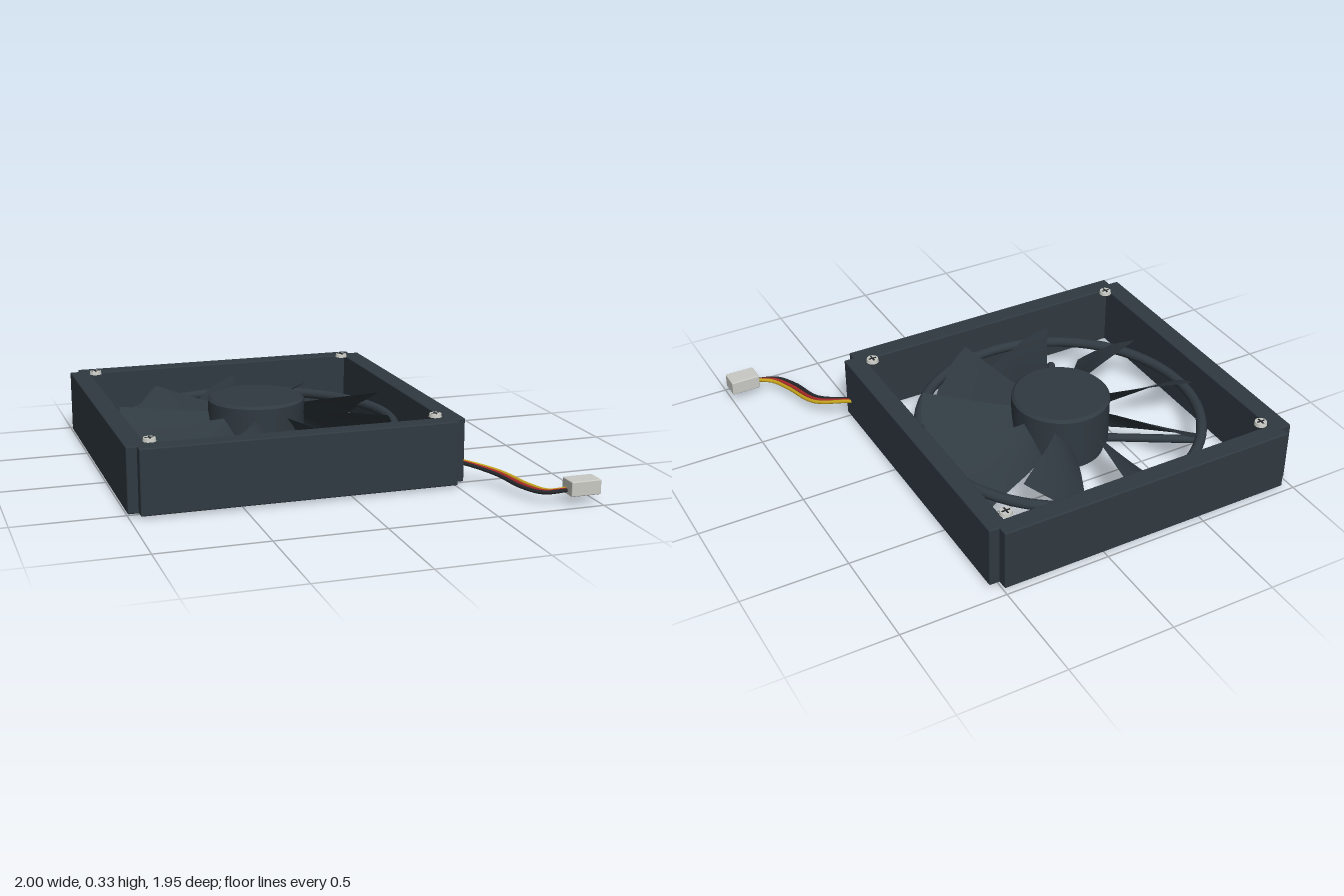
import * as THREE from 'three';
import { RoundedBoxGeometry } from 'three/addons/geometries/RoundedBoxGeometry.js';

const CX = -0.228, CZ = -0.203; // fan axis

export function createModel() {
  const mat = (name, color, side = THREE.FrontSide) => {
    const m = new THREE.MeshStandardMaterial({ color, side });
    m.name = name;
    return m;
  };
  const plastic = mat('dark plastic', 0x303a41, THREE.DoubleSide);
  const metal = mat('pale grey', 0xc9cac4);
  const black = mat('black wire', 0x25282b);
  const red = mat('red wire', 0xa82a2a);
  const yellow = mat('yellow wire', 0xc4a21c);

  const model = new THREE.Group();
  const fan = new THREE.Group();
  fan.name = 'fan';
  fan.position.set(CX, 0, CZ);
  model.add(fan);

  const add = (parent, name, geo, material, x = 0, y = 0, z = 0) => {
    const m = new THREE.Mesh(geo, material);
    m.name = name;
    m.position.set(x, y, z);
    parent.add(m);
    return m;
  };

  // Square frame: four bars that step in at the corners
  const bar = new RoundedBoxGeometry(1.45, 0.298, 0.092, 2, 0.006);
  for (let i = 0; i < 4; i++) {
    const a = i * Math.PI / 2;
    const b = add(fan, 'frameBar', bar, plastic, Math.sin(a) * 0.727, 0.161, Math.cos(a) * 0.727);
    b.rotation.y = a;
  }

  // Round shroud ring
  const ring = add(fan, 'shroudRing', new THREE.TorusGeometry(0.662, 0.025, 12, 72), plastic, 0, 0.16, 0);
  ring.rotation.x = Math.PI / 2;

  // Hub with a bevelled rim, and the motor base below it
  const lathe = (pts) => new THREE.LatheGeometry(pts.map(p => new THREE.Vector2(...p)), 48);
  const hubParts = [
    [[0, 0.07], [0.23, 0.07]],
    [[0.23, 0.07], [0.23, 0.29]],
    [[0.23, 0.29], [0.217, 0.302]],
    [[0.217, 0.302], [0, 0.302]],
  ];
  hubParts.forEach(p => add(fan, 'hub', lathe(p), plastic));
  add(fan, 'motorBase', new THREE.CylinderGeometry(0.21, 0.21, 0.05, 48), plastic, 0, 0.042, 0);

  // Nine swept, pitched blades
  const blade = bladeGeometry();
  for (let i = 0; i < 9; i++) {
    add(fan, 'blade', blade, plastic).rotation.y = i * Math.PI * 2 / 9;
  }

  // Four slanted support struts
  const from = new THREE.Vector3(-0.075, 0.021, 0.21), to = new THREE.Vector3(-0.3, 0.021, 0.585);
  const dir = to.clone().sub(from);
  const strutGeo = new THREE.CylinderGeometry(0.02, 0.02, dir.length(), 12);
  for (let i = 0; i < 4; i++) {
    const pivot = new THREE.Group();
    pivot.name = 'strut';
    pivot.rotation.y = i * Math.PI / 2;
    const mid = from.clone().add(to).multiplyScalar(0.5);
    const s = add(pivot, 'strutRod', strutGeo, plastic, mid.x, mid.y, mid.z);
    s.quaternion.setFromUnitVectors(new THREE.Vector3(0, 1, 0), dir.clone().normalize());
    fan.add(pivot);
  }

  // Corner screws with cross slots
  const head = new THREE.CylinderGeometry(0.027, 0.03, 0.016, 24);
  const slot = new THREE.BoxGeometry(0.04, 0.002, 0.008);
  for (const sx of [-1, 1]) for (const sz of [-1, 1]) {
    const screw = new THREE.Group();
    screw.name = 'screw';
    screw.position.set(sx * 0.656, 0, sz * 0.655);
    add(screw, 'screwHead', head, metal, 0, 0.317, 0);
    add(screw, 'screwSlot', slot, black, 0, 0.3252, 0);
    add(screw, 'screwSlot', slot, black, 0, 0.3254, 0).rotation.y = Math.PI / 2;
    fan.add(screw);
  }

  // Cable: three wires side by side, blended between the two outer paths
  const inner = [[0.385, 0.1, 0.405], [0.46, 0.105, 0.44], [0.555, 0.093, 0.515], [0.655, 0.068, 0.63],
    [0.7, 0.055, 0.8], [0.76, 0.053, 0.9], [0.87, 0.063, 0.927]];
  const outer = [[0.43, 0.1, 0.4], [0.47, 0.108, 0.42], [0.555, 0.098, 0.485], [0.685, 0.07, 0.6],
    [0.745, 0.056, 0.79], [0.79, 0.055, 0.885], [0.87, 0.068, 0.92]];
  [['blackWire', black, 0], ['redWire', red, 0.5], ['yellowWire', yellow, 1]].forEach(([name, m, t]) => {
    const pts = inner.map((p, i) => new THREE.Vector3(...p).lerp(new THREE.Vector3(...outer[i]), t));
    add(model, name, new THREE.TubeGeometry(new THREE.CatmullRomCurve3(pts), 48, 0.009, 8), m);
  });

  // Plug at the end of the cable
  add(model, 'connector', new RoundedBoxGeometry(0.142, 0.068, 0.094, 2, 0.005), metal, 0.928, 0.077, 0.926);

  return model;
}

// Blade as a grid: radius along the span, angle and height across the chord
function bladeGeometry() {
  const nr = 12, nc = 8, pos = [], idx = [];
  const quad = (a, b, c, t) => a * (1 - t) * (1 - t) + 2 * b * t * (1 - t) + c * t * t;
  for (let i = 0; i <= nr; i++) {
    const t = i / nr, r = 0.2 + 0.45 * t;
    const low = quad(81, 72, 71, t), high = quad(54, 46.5, 45, t);
    const rise = 0.075 + 0.02 * t;
    for (let j = 0; j <= nc; j++) {
      const u = j / nc, a = THREE.MathUtils.degToRad(low + (high - low) * u);
      const y = 0.16 + rise * (2 * u - 1) + 0.015 * Math.sin(Math.PI * u);
      pos.push(r * Math.cos(a), y, -r * Math.sin(a));
      if (i < nr && j < nc) {
        const k = i * (nc + 1) + j, n = k + nc + 1;
        idx.push(k, k + 1, n, n, k + 1, n + 1);
      }
    }
  }
  // Reverse the corners so the front of each face looks up
  for (let i = 0; i < idx.length; i += 3) [idx[i + 1], idx[i + 2]] = [idx[i + 2], idx[i + 1]];
  const g = new THREE.BufferGeometry();
  g.setAttribute('position', new THREE.Float32BufferAttribute(pos, 3));
  g.setIndex(idx);
  g.computeVertexNormals();
  return g;
}
